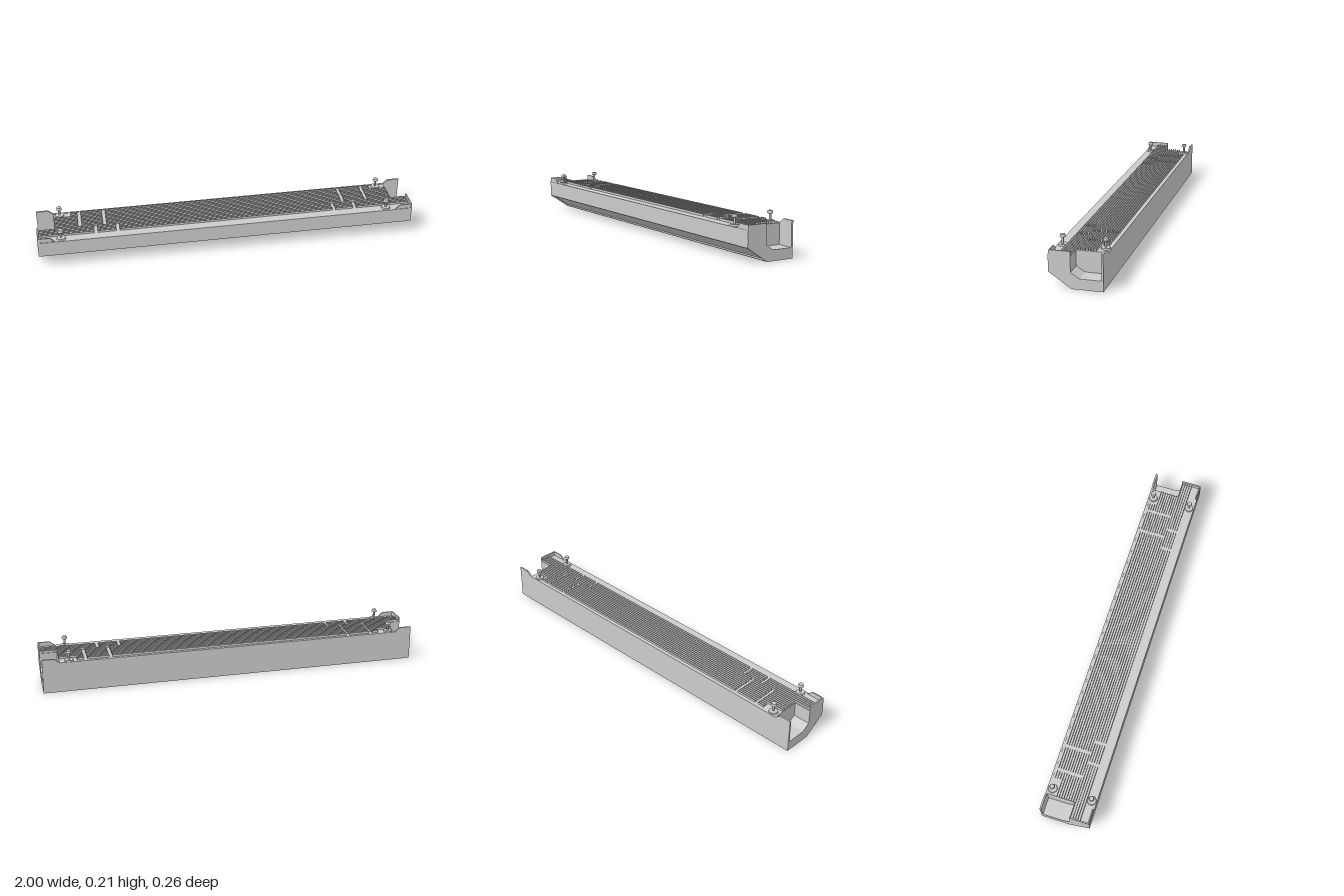
import * as THREE from 'three';

const grey = new THREE.MeshStandardMaterial({ color: 0xcccccc, flatShading: true });

function add(parent, name, geometry, x = 0, y = 0, z = 0) {
  const mesh = new THREE.Mesh(geometry, grey);
  mesh.name = name;
  mesh.position.set(x, y, z);
  parent.add(mesh);
  return mesh;
}

const shapeOf = (points) => new THREE.Shape(points.map(([a, b]) => new THREE.Vector2(a, b)));

// Extrudes a (z, y) cross-section along x, from x0 to x1
function alongX(points, x0, x1) {
  const g = new THREE.ExtrudeGeometry(shapeOf(points), { depth: x1 - x0, bevelEnabled: false });
  return g.rotateY(-Math.PI / 2).translate(x1, 0, 0);
}

// Housing cross-section; slope lists extra points along the sloped underside
function section(frontTop, backTop, slope) {
  return [
    [0.02, 0], ...slope, [0.132, 0.075], [0.132, 0.158],
    ...(frontTop > 0.16 ? [[0.128, frontTop]] : []),
    [0.025, frontTop], [0.025, 0.08], [-0.018, 0.053], [-0.122, 0.053],
    [-0.122, backTop], [-0.131, backTop], [-0.131, 0],
  ];
}

// A bolt with a round washer, shaft and tapered head
function makeBolt(x, z) {
  const bolt = new THREE.Group();
  bolt.name = 'bolt';
  bolt.position.set(x, 0, z);
  add(bolt, 'washer', new THREE.CylinderGeometry(0.022, 0.024, 0.008, 24), 0, 0.162, 0);
  add(bolt, 'shaft', new THREE.CylinderGeometry(0.0058, 0.0058, 0.042, 16), 0, 0.179, 0);
  const profile = [[0, 0.197], [0.0095, 0.197], [0.0148, 0.2], [0.0115, 0.213], [0, 0.213]];
  add(bolt, 'head', new THREE.LatheGeometry(profile.map(([r, y]) => new THREE.Vector2(r, y)), 16));
  return bolt;
}

// A thin fin along x, broken by gaps centred at +-each position
function makeFin(parent, z, half, gaps) {
  const gapHalf = 0.009;
  const cuts = gaps.flatMap((g) => [-g, g]).sort((a, b) => a - b);
  let start = -half;
  for (const end of [...cuts, half + gapHalf]) {
    const stop = end - gapHalf;
    add(parent, 'fin', new THREE.BoxGeometry(stop - start, 0.014, 0.0022), (start + stop) / 2, 0.163, z);
    start = end + gapHalf;
  }
}

export function createModel() {
  const model = new THREE.Group();
  model.name = 'finnedHousing';

  // Housing with a framed, recessed panel in the sloped underside
  const recess = [[0.026, 0.004], [0.0222, 0.0098], [0.1222, 0.0768], [0.126, 0.071]];
  add(model, 'housing', alongX(section(0.158, 0.16, recess), -0.993, 0.993));

  // Closed middle below the fins, leaving a notch at each end
  add(model, 'core', alongX([
    [-0.018, 0.053], [0.025, 0.08], [0.025, 0.158], [-0.122, 0.158], [-0.122, 0.053],
  ], -0.91, 0.91));

  // End plates
  for (const [x0, x1] of [[-1, -0.993], [0.993, 1]]) {
    add(model, 'endPlate', alongX(section(0.182, 0.182, []), x0, x1));
  }

  // Raised corners of the long walls, sloping down toward the middle
  for (const side of [-1, 1]) {
    for (const [name, z, depth] of [['backCorner', -0.131, 0.009], ['frontCorner', 0.123, 0.006]]) {
      const points = [[0.905, 0.158], [0.995, 0.158], [0.995, 0.182], [0.937, 0.182], [0.928, 0.175], [0.918, 0.165]];
      const corner = shapeOf(points.map(([x, y]) => [x * side, y]));
      add(model, name, new THREE.ExtrudeGeometry(corner, { depth, bevelEnabled: false }), 0, 0, z);
    }
  }

  // Wide back fins; the last ones stop short of the bolts
  const backFins = new THREE.Group();
  backFins.name = 'backFins';
  for (let i = 0; i < 11; i++) {
    const z = 0.018 - i * 0.0127;
    makeFin(backFins, z, z < -0.075 ? 0.82 : 0.91, [0.645, 0.775]);
  }

  // Narrow set of front fins
  const frontFins = new THREE.Group();
  frontFins.name = 'frontFins';
  for (let i = 0; i < 5; i++) makeFin(frontFins, 0.03 + i * 0.0127, 0.993, [0.58, 0.695]);
  model.add(backFins, frontFins);

  // Bolts
  for (const x of [-0.877, 0.86]) {
    for (const z of [-0.104, 0.105]) model.add(makeBolt(x, z));
  }
  return model;
}
